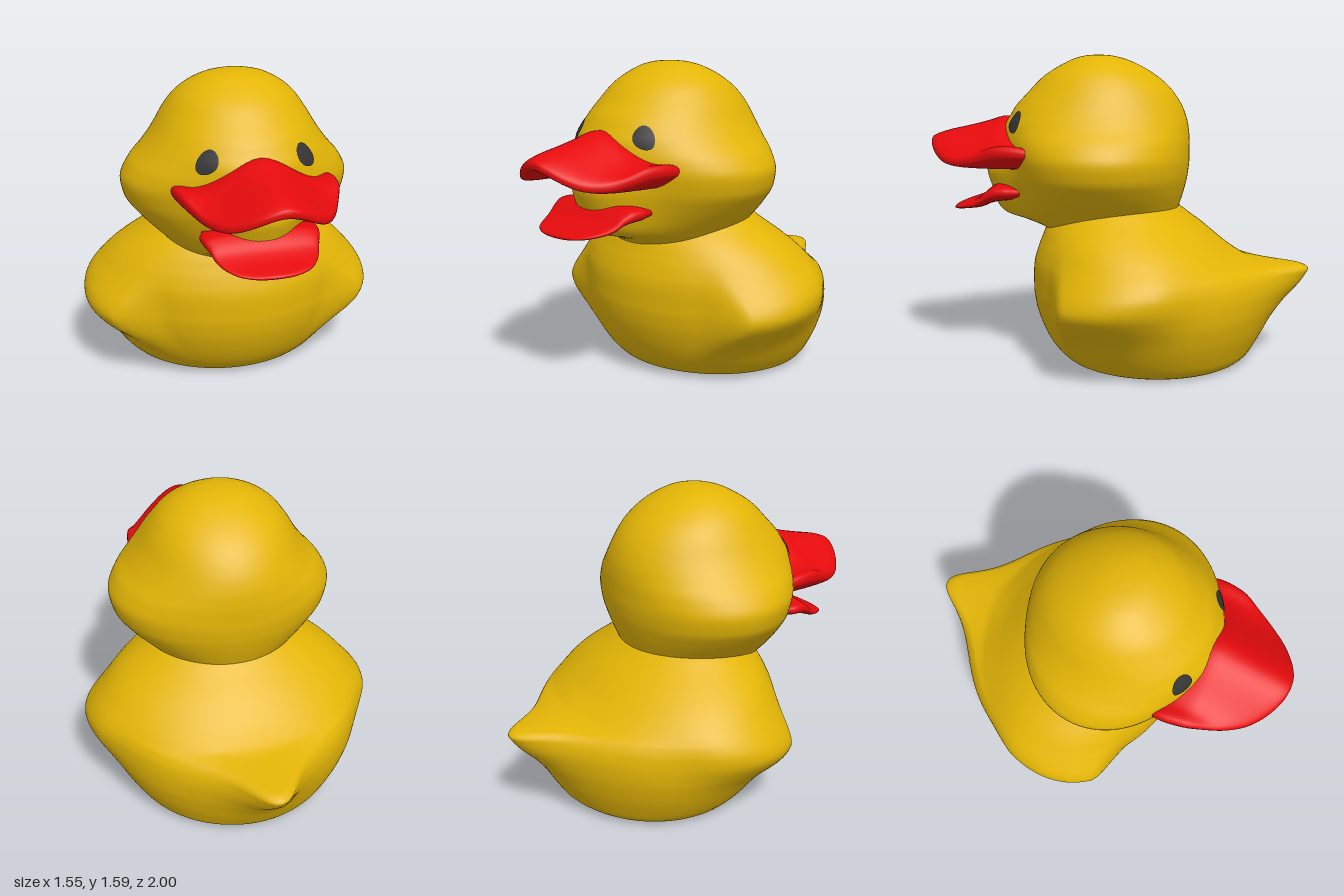
import * as THREE from 'three';

const makeMaterial = (name, color) => {
  const m = new THREE.MeshStandardMaterial({ color });
  m.name = name;
  return m;
};

const smooth = (a, b, x) => THREE.MathUtils.smoothstep(x, a, b);

// Smooth value of column c at fractional row t, without overshoot
function sample(rows, c, t) {
  const n = rows.length - 1;
  const i = Math.max(0, Math.min(n - 1, Math.floor(t)));
  const f = t - i;
  const v = (k) => rows[Math.max(0, Math.min(n, k))][c] ?? 0;
  const slope = (k) => {
    if (k <= 0 || k >= n) return v(k + 1) - v(k - 1);
    const d0 = v(k) - v(k - 1), d1 = v(k + 1) - v(k);
    return d0 * d1 <= 0 ? 0 : (2 * d0 * d1) / (d0 + d1);
  };
  const f2 = f * f, f3 = f2 * f;
  return v(i) * (2 * f3 - 3 * f2 + 1) + v(i + 1) * (3 * f2 - 2 * f3)
    + slope(i) * (f3 - 2 * f2 + f) + slope(i + 1) * (f3 - f2);
}

// Skin of closed rings: point(t, angle) for each row step
function loft(rowCount, point, steps = 5, cols = 96) {
  const pos = [], index = [];
  const total = (rowCount - 1) * steps;
  for (let r = 0; r <= total; r++) {
    for (let c = 0; c < cols; c++) pos.push(...point(r / steps, (c / cols) * Math.PI * 2));
  }
  for (let r = 0; r < total; r++) {
    for (let c = 0; c < cols; c++) {
      const a = r * cols + c, b = r * cols + ((c + 1) % cols);
      index.push(a, a + cols, b, b, a + cols, b + cols);
    }
  }
  const g = new THREE.BufferGeometry();
  g.setAttribute('position', new THREE.Float32BufferAttribute(pos, 3));
  g.setIndex(index);
  g.computeVertexNormals();
  return g;
}

// Body rings: height, half width, front z, back z, tail reach
const bodyRows = [
  [0, 0, -0.2, -0.2], [0, 0.3, 0.1, -0.48], [0, 0.465, 0.24, -0.62],
  [0.01, 0.505, 0.28, -0.65], [0.04, 0.54, 0.32, -0.68, 0.01],
  [0.1, 0.585, 0.37, -0.7, 0.03], [0.2, 0.637, 0.42, -0.728, 0.06],
  [0.3, 0.67, 0.45, -0.74, 0.12], [0.38, 0.68, 0.46, -0.735, 0.2],
  [0.44, 0.68, 0.46, -0.72, 0.26], [0.475, 0.677, 0.459, -0.7, 0.295],
  [0.495, 0.674, 0.4575, -0.685, 0.275], [0.507, 0.6715, 0.456, -0.674, 0.18],
  [0.53, 0.6655, 0.452, -0.648, 0.03], [0.6, 0.632, 0.43, -0.56],
  [0.65, 0.592, 0.41, -0.5], [0.7, 0.535, 0.39, -0.44],
  [0.76, 0.455, 0.35, -0.36], [0.82, 0.37, 0.28, -0.28],
  [0.86, 0.25, 0.2, -0.2], [0.86, 0, 0, 0],
];

// Wing bulge: steep at the front, fading to the back and rising
function wingBulge(y, z) {
  const along = z < 0.25
    ? 0.155 * Math.pow(smooth(-0.75, 0.45, z) / smooth(-0.75, 0.45, 0.25), 1.1) * smooth(-0.5, -0.2, z)
    : 0.155 * (1 - smooth(0.25, 0.34, z));
  const q = (y - (0.355 + (0.27 - z) * 0.15)) / 0.15;
  return along * Math.exp(-q * q);
}

function bodyPoint(t, a) {
  const [y, w, f, b, tail] = [0, 1, 2, 3, 4].map((c) => sample(bodyRows, c, t));
  const s = Math.sin(a);
  let x = w * Math.cos(a);
  let z = (f + b) / 2 + ((f - b) / 2) * s;
  x += Math.sign(x) * wingBulge(y, z) * smooth(0.1, 0.45, Math.abs(x));
  if (s < 0) z += (tail * s) / (1 + Math.pow(Math.abs(x) / (0.3 - 0.3 * y), 2.3));
  return [x, y, z];
}

// Head rings: height, half width, front z, back z, muzzle reach
const headRows = [
  [0.64, 0, 0.05, 0.05], [0.64, 0.28, 0.32, -0.22], [0.7, 0.33, 0.41, -0.26],
  [0.74, 0.36, 0.47, -0.28, 0.04], [0.77, 0.385, 0.5, -0.295, 0.11],
  [0.81, 0.425, 0.52, -0.31, 0.13], [0.9, 0.51, 0.54, -0.338, 0.14],
  [0.98, 0.565, 0.555, -0.355, 0.15], [1.06, 0.58, 0.57, -0.362, 0.11],
  [1.14, 0.545, 0.585, -0.362, 0.04], [1.22, 0.475, 0.59, -0.355, 0.02],
  [1.3, 0.415, 0.565, -0.333], [1.4, 0.355, 0.48, -0.275],
  [1.48, 0.293, 0.4, -0.19], [1.54, 0.212, 0.305, -0.09],
  [1.572, 0.14, 0.235, -0.01], [1.586, 0.068, 0.175, 0.055], [1.59, 0, 0.115, 0.115],
];

function headPoint(t, a) {
  const [y, w, f, b, muzzle] = [0, 1, 2, 3, 4].map((c) => sample(headRows, c, t));
  const s = Math.sin(a), x = w * Math.cos(a);
  const reach = s > 0 ? muzzle * s * Math.exp(-Math.pow(Math.abs(x) / 0.23, 3)) : 0;
  return [x, y, (f + b) / 2 + ((f - b) / 2) * s + reach];
}

// Bill rings from tip to root: z, half width, centre height, half thickness
const upperRows = [
  [1.0, 0, 1.147, 0], [0.995, 0.05, 1.147, 0.017], [0.97, 0.12, 1.148, 0.03],
  [0.9, 0.22, 1.155, 0.045], [0.8, 0.295, 1.167, 0.055], [0.7, 0.345, 1.18, 0.067],
  [0.6, 0.385, 1.193, 0.08], [0.5, 0.4, 1.19, 0.075], [0.445, 0.397, 1.185, 0.062],
  [0.425, 0.38, 1.18, 0.04], [0.415, 0, 1.18, 0],
];
const lowerRows = [
  [0.875, 0, 0.795, 0], [0.87, 0.08, 0.796, 0.008], [0.84, 0.165, 0.801, 0.014],
  [0.78, 0.22, 0.812, 0.021], [0.72, 0.25, 0.83, 0.032], [0.67, 0.268, 0.862, 0.044],
  [0.62, 0.285, 0.88, 0.052], [0.57, 0.29, 0.883, 0.05], [0.53, 0.275, 0.883, 0.042],
  [0.47, 0.25, 0.883, 0.03], [0.46, 0, 0.883, 0],
];

const billGeometry = (rows, bend) => loft(rows.length, (t, a) => {
  const [z, h, c, th] = [0, 1, 2, 3].map((k) => sample(rows, k, t));
  const s = Math.sin(a), x = h * Math.cos(a);
  return [x, c + bend(Math.abs(x)) + th * Math.sign(s) * Math.pow(Math.abs(s), 0.7), z];
}, 4, 64);

// Eye patch that follows the head's surface
function eyeGeometry(side) {
  const g = new THREE.RingGeometry(0.001, 1, 28, 4);
  const p = g.attributes.position;
  const middle = Math.PI / 2 - side * 0.55;
  for (let i = 0; i < p.count; i++) {
    const [x, y, z] = headPoint(10.38 + p.getY(i) * 0.69, middle - p.getX(i) * 0.115);
    p.setXYZ(i, x * 1.012, y, 0.12 + (z - 0.12) * 1.014);
  }
  g.computeVertexNormals();
  return g;
}

export function createModel() {
  const yellow = makeMaterial('yellow', 0xe3b506);
  const red = makeMaterial('red', 0xe50a0c);
  const dark = makeMaterial('dark grey', 0x343434);

  const duck = new THREE.Group();
  duck.name = 'toyDuck';
  const add = (name, geometry, material) => {
    const mesh = new THREE.Mesh(geometry, material);
    mesh.name = name;
    duck.add(mesh);
  };

  add('body', loft(bodyRows.length, bodyPoint, 5, 160), yellow);
  add('head', loft(headRows.length, headPoint), yellow);

  // Arched upper bill with slightly raised corners, and a scooped lower bill
  add('upperBill', billGeometry(upperRows, (x) => -0.115 * smooth(0, 0.3, x) + 0.03 * smooth(0.3, 0.4, x)), red);
  add('lowerBill', billGeometry(lowerRows, (x) => 0.15 * x * x), red);

  add('leftEye', eyeGeometry(1), dark);
  add('rightEye', eyeGeometry(-1), dark);
  return duck;
}
